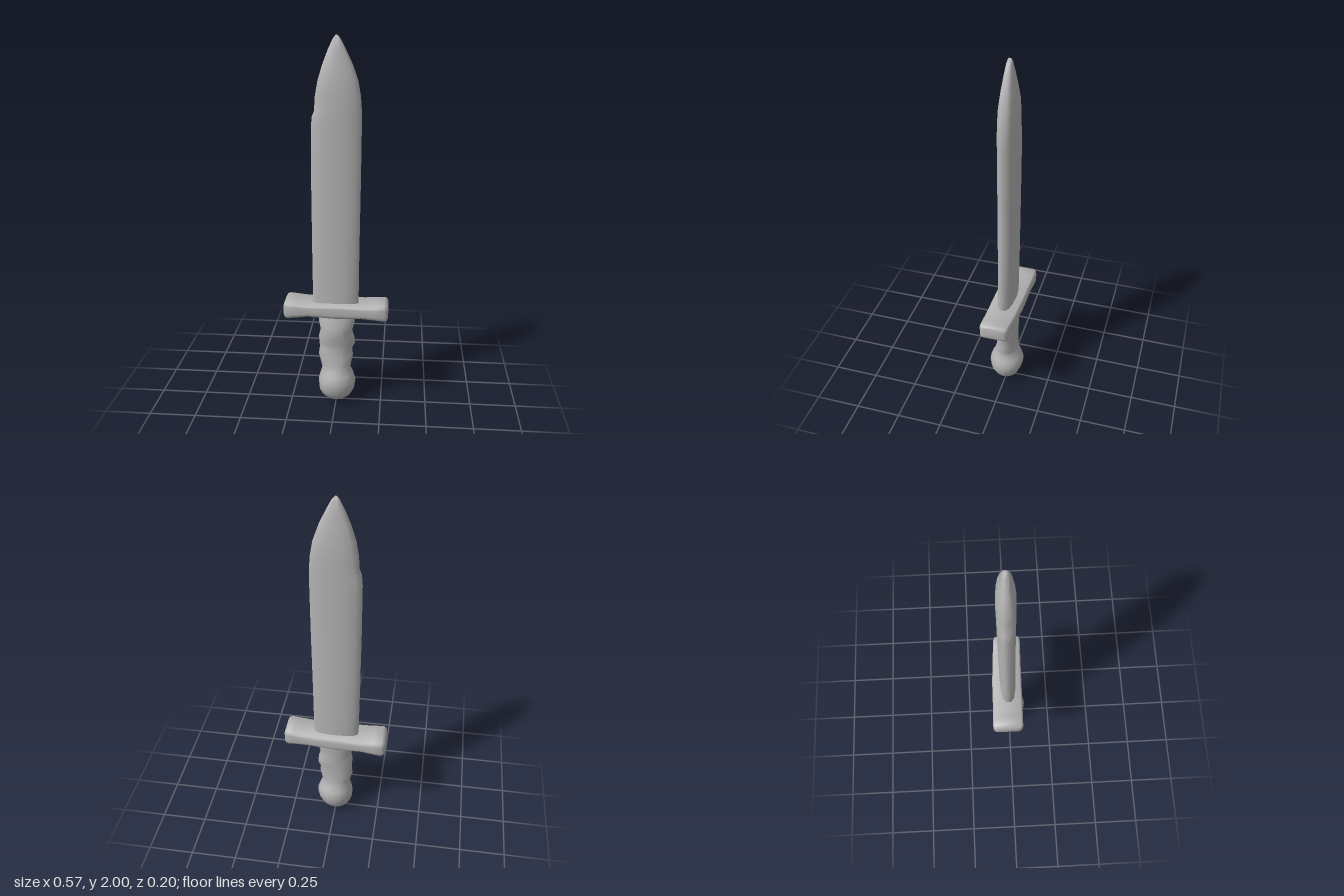
import * as THREE from 'three';
import { toCreasedNormals } from 'three/addons/utils/BufferGeometryUtils.js';

// Skin a stack of closed rings of [x, y, z] points, with a cap at each end.
function loft(rings) {
  const n = rings[0].length, pos = rings.flat(2), index = [];
  for (let i = 0; i < rings.length - 1; i++) {
    for (let j = 0; j < n; j++) {
      const a = i * n + j, b = i * n + (j + 1) % n;
      index.push(a, a + n, b, b, a + n, b + n);
    }
  }
  [0, rings.length - 1].forEach(e => {
    const c = pos.length / 3;
    pos.push(...[0, 1, 2].map(k => rings[e].reduce((s, p) => s + p[k], 0) / n));
    for (let j = 0; j < n; j++) {
      const a = e * n + j, b = e * n + (j + 1) % n;
      index.push(c, ...(e === 0 ? [a, b] : [b, a]));
    }
  });
  const g = new THREE.BufferGeometry();
  g.setAttribute('position', new THREE.Float32BufferAttribute(pos, 3));
  g.setIndex(index);
  return toCreasedNormals(g, 1.25);
}

// Fit a unit outline (u, v in -1..1) between two pairs of limits.
const fit = (outline, u0, u1, v0, v1) => outline.map(([u, v]) => [
  (u0 + u1) / 2 + u * (u1 - u0) / 2, (v0 + v1) / 2 + v * (v1 - v0) / 2]);

// Upright part: each row is [y, left x, right x, back z, front z].
const upright = (outline, rows) => loft(rows.map(([y, ...limits]) =>
  fit(outline, ...limits).map(([x, z]) => [x, y, z])));

// Sideways part: each row is [x, low y, high y, back z, front z].
const sideways = (outline, rows) => loft(rows.map(([x, y0, y1, z0, z1]) =>
  fit(outline, z0, z1, y0, y1).map(([z, y]) => [x, y, z])));

// Full outline from its first quarter
const mirrored = quarter => {
  const half = [...quarter, ...quarter.filter(p => p[0] > 0).map(([u, v]) => [-u, v]).reverse()];
  return [...half, ...half.map(([u, v]) => [-u, -v])];
};
const lens = mirrored([[1, 0.35], [0.8, 0.72], [0.42, 0.92], [0, 1]]);
const softBox = mirrored([[1, 0.5], [0.97, 0.8], [0.88, 1]]);
const circle = Array.from({ length: 16 }, (_, i) => {
  const a = i / 16 * Math.PI * 2;
  return [Math.cos(a), Math.sin(a)];
});

export function createModel() {
  const group = new THREE.Group();
  const grey = new THREE.MeshStandardMaterial({ color: 0xb4b4b4 });
  grey.name = 'grey';
  const add = (name, geometry) => {
    const mesh = new THREE.Mesh(geometry, grey);
    mesh.name = name;
    group.add(mesh);
  };

  // Blade with a worn notch on one edge
  add('blade', upright(lens, [
    [0.56, -0.125, 0.12, -0.05, 0.04],
    [0.90, -0.128, 0.122, -0.054, 0.037],
    [1.25, -0.13, 0.126, -0.057, 0.036],
    [1.54, -0.129, 0.128, -0.059, 0.036],
    [1.60, -0.124, 0.128, -0.06, 0.036],
    [1.63, -0.112, 0.127, -0.06, 0.036],
    [1.70, -0.108, 0.122, -0.06, 0.036],
    [1.78, -0.094, 0.108, -0.058, 0.034],
    [1.86, -0.07, 0.08, -0.047, 0.024],
    [1.93, -0.043, 0.047, -0.036, 0.013],
    [1.98, -0.02, 0.022, -0.027, 0.004],
    [2.00, -0.006, 0.006, -0.02, -0.004],
  ]));

  // Cross guard, flared at both ends
  add('guard', sideways(softBox, [
    [-0.283, 0.53, 0.585, -0.075, 0.05],
    [-0.277, 0.518, 0.597, -0.092, 0.064],
    [-0.262, 0.513, 0.602, -0.1, 0.071],
    [-0.22, 0.518, 0.598, -0.1, 0.072],
    [-0.15, 0.527, 0.592, -0.097, 0.073],
    [0, 0.52, 0.597, -0.095, 0.075],
    [0.15, 0.525, 0.592, -0.086, 0.077],
    [0.22, 0.52, 0.597, -0.081, 0.079],
    [0.262, 0.515, 0.602, -0.078, 0.079],
    [0.277, 0.52, 0.597, -0.072, 0.073],
    [0.283, 0.53, 0.587, -0.058, 0.058],
  ]));

  // Handle: rounded pommel running into a grip with finger swells
  add('handle', upright(circle, [
    [0, -0.012, 0.012, -0.01, 0.012],
    [0.012, -0.042, 0.045, -0.035, 0.035],
    [0.04, -0.078, 0.08, -0.07, 0.072],
    [0.075, -0.095, 0.1, -0.084, 0.092],
    [0.13, -0.098, 0.108, -0.098, 0.098],
    [0.17, -0.087, 0.095, -0.086, 0.085],
    [0.20, -0.078, 0.08, -0.068, 0.07],
    [0.23, -0.085, 0.082, -0.062, 0.062],
    [0.28, -0.097, 0.093, -0.06, 0.057],
    [0.32, -0.092, 0.088, -0.06, 0.052],
    [0.35, -0.093, 0.104, -0.062, 0.052],
    [0.39, -0.096, 0.1, -0.064, 0.066],
    [0.43, -0.086, 0.088, -0.066, 0.066],
    [0.47, -0.094, 0.1, -0.068, 0.066],
    [0.50, -0.095, 0.1, -0.07, 0.055],
    [0.54, -0.094, 0.098, -0.07, 0.05],
  ]));

  return group;
}
